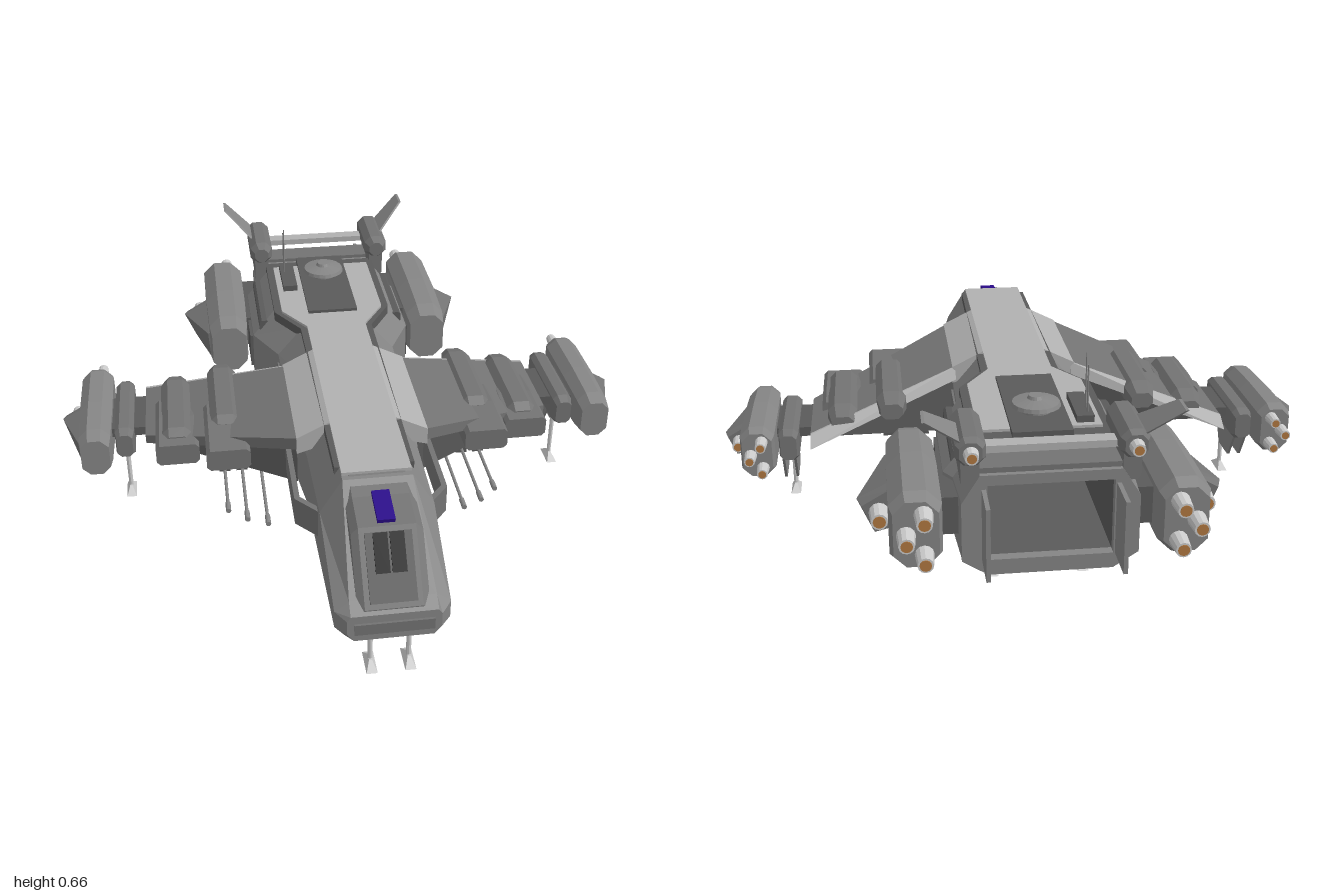
import * as THREE from 'three';

const paint = (color, side = THREE.FrontSide) => new THREE.MeshStandardMaterial({ color, flatShading: true, side });
const grey = paint(0xcccccc), light = paint(0xb0b0b0), mid = paint(0x858585), wingGrey = paint(0x737373), dark = paint(0x5a5a5a);
const glass = paint(0x050505), purple = paint(0x2a0a8a), glow = paint(0xb07840), inside = paint(0x5a5a5a, THREE.BackSide);

// Capped loft through [z, points] sections, front to back, points anticlockwise seen from the front
function loft(sections) {
  const v = [], n = sections[0][1].length;
  const put = (s, i) => v.push(...s[1][i % n], s[0]);
  for (let k = 0; k < sections.length - 1; k++) {
    const f = sections[k], b = sections[k + 1];
    for (let i = 0; i < n; i++) {
      put(f, i); put(b, i); put(b, i + 1);
      put(f, i); put(b, i + 1); put(f, i + 1);
    }
  }
  const first = sections[0], last = sections[sections.length - 1];
  for (let i = 1; i < n - 1; i++) {
    put(first, 0); put(first, i); put(first, i + 1);
    put(last, 0); put(last, i + 1); put(last, i);
  }
  const g = new THREE.BufferGeometry();
  g.setAttribute('position', new THREE.Float32BufferAttribute(v, 3));
  g.computeVertexNormals();
  return g;
}

// Chamfered rectangle
function oct(cx, cy, w, h, c) {
  const a = w / 2, b = h / 2;
  return [[a, c - b], [a, b - c], [a - c, b], [c - a, b], [-a, b - c], [-a, c - b], [c - a, -b], [a - c, -b]]
    .map(([x, y]) => [x + cx, y + cy]);
}

// Loft along x from tip to root; rows are [x, zFront, zBackTop, zBackBottom, yTop, yBottom]
const span = (rows) => loft(rows.map(([x, zf, zt, zb, yt, yb]) =>
  [x, [[-zf, yb], [-zb, yb], [-zt, yt], [-zf, yt]]])).rotateY(Math.PI / 2);

// Box given by its limits
const box = (x0, x1, y0, y1, z0, z1) => new THREE.BoxGeometry(x1 - x0, y1 - y0, z1 - z0)
  .translate((x0 + x1) / 2, (y0 + y1) / 2, (z0 + z1) / 2);

// Cylinder along z, r0 at the front
const tube = (x, y, z0, z1, r0, r1 = r0) => new THREE.CylinderGeometry(r0, r1, z0 - z1, 12)
  .rotateX(Math.PI / 2).translate(x, y, (z0 + z1) / 2);

const extrude = (pts, depth) => new THREE.ExtrudeGeometry(
  new THREE.Shape(pts.map((p) => new THREE.Vector2(...p))), { depth, bevelEnabled: false });
// Upright plate from [z, y] points, and flat slab from [x, z] points
const plate = (pts, x0, x1) => extrude(pts.map(([z, y]) => [-z, y]), x1 - x0).rotateY(Math.PI / 2).translate(x0, 0, 0);
const slab = (pts, y0, y1) => extrude(pts.map(([x, z]) => [x, -z]), y1 - y0).rotateX(-Math.PI / 2).translate(0, y0, 0);

function mirrored(geo) {
  const g = geo.index ? geo.toNonIndexed() : geo.clone();
  g.scale(-1, 1, 1);
  for (const name of ['position', 'normal']) {
    const a = g.attributes[name].array;
    for (let i = 0; i < a.length; i += 9)
      for (let j = 0; j < 3; j++) [a[i + 3 + j], a[i + 6 + j]] = [a[i + 6 + j], a[i + 3 + j]];
  }
  return g;
}

export function createModel() {
  const root = new THREE.Group();
  root.name = 'dropship';
  const add = (name, geo, mat = mid) => {
    const m = new THREE.Mesh(geo, mat);
    m.name = name;
    root.add(m);
  };
  const pair = (name, geo, mat) => {
    add(name + 'Left', geo, mat);
    add(name + 'Right', mirrored(geo), mat);
  };

  // Hull: z, bottom half-width and y, side half-width, its lower and upper y, top half-width and y
  const hull = [
    [0.99, 0.11, 0.155, 0.13, 0.18, 0.225, 0.12, 0.24], [0.955, 0.13, 0.145, 0.16, 0.18, 0.235, 0.12, 0.265],
    [0.68, 0.13, 0.145, 0.165, 0.18, 0.36, 0.1, 0.465], [0.4, 0.13, 0.145, 0.17, 0.18, 0.36, 0.1, 0.465],
    [0.2, 0.14, 0.145, 0.195, 0.18, 0.36, 0.11, 0.465], [-0.22, 0.14, 0.145, 0.2, 0.18, 0.36, 0.11, 0.465],
    [-0.37, 0.17, 0.145, 0.275, 0.19, 0.36, 0.19, 0.465], [-0.68, 0.17, 0.145, 0.275, 0.19, 0.36, 0.19, 0.465],
    [-0.72, 0.17, 0.145, 0.25, 0.19, 0.36, 0.19, 0.445], [-0.86, 0.17, 0.145, 0.24, 0.19, 0.36, 0.19, 0.44],
  ].map(([z, b, yb, w, y1, y2, t, yt]) =>
    [z, [[b, yb], [w, y1], [w, y2], [t, yt], [-t, yt], [-w, y2], [-w, y1], [-b, yb]]]);
  const shell = loft(hull);
  // leave the tail open: drop the back cap triangles
  const kept = Array.from(shell.attributes.position.array).filter((_, i, a) =>
    [2, 5, 8].some((k) => a[i - (i % 9) + k] > -0.855));
  shell.setAttribute('position', new THREE.Float32BufferAttribute(kept, 3));
  shell.computeVertexNormals();
  add('hull', shell);

  // Tail frame, open cargo bay and doors
  const rim = new THREE.Shape(hull[hull.length - 1][1].map((p) => new THREE.Vector2(...p)));
  rim.holes.push(new THREE.Path([[-0.17, 0.19], [-0.17, 0.41], [0.17, 0.41], [0.17, 0.19]].map((p) => new THREE.Vector2(...p))));
  add('tailFrame', new THREE.ExtrudeGeometry(rim, { depth: 0.03, bevelEnabled: false }).translate(0, 0, -0.885));
  const bay = box(-0.17, 0.17, 0.19, 0.41, -0.86, -0.4);
  bay.setIndex(Array.from(bay.index.array).slice(0, 30)); // without the rear face
  add('cargoBay', bay, inside);
  pair('cargoDoor', plate([[-0.87, 0.19], [-1, 0.19], [-1, 0.4], [-0.87, 0.4]], 0.174, 0.186));

  // Top deck with a darker border
  const symmetric = (half) => [...half, ...half.slice().reverse().map(([x, z]) => [-x, z])];
  add('deck', slab(symmetric([[0.1, 0.66], [0.1, -0.2], [0.175, -0.32], [0.175, -0.67]]), 0.463, 0.475), light);
  add('deckBorder', slab(symmetric([[0.115, 0.62], [0.122, -0.2], [0.2, -0.33], [0.2, -0.72]]), 0.435, 0.467), dark);
  pair('shoulderRail', loft([[-0.36, oct(0.235, 0.4, 0.035, 0.04, 0.008)], [-0.68, oct(0.235, 0.4, 0.035, 0.04, 0.008)]]), dark);
  add('turretPad', box(-0.085, 0.085, 0.47, 0.485, -0.72, -0.29), dark);
  add('deckLocker', box(-0.155, -0.105, 0.47, 0.495, -0.65, -0.47), dark);
  add('tailStep', box(-0.19, 0.19, 0.43, 0.455, -0.87, -0.78), wingGrey);
  const turret = [[0, 0.48], [0.045, 0.48], [0.045, 0.497], [0.072, 0.502], [0.068, 0.513], [0.025, 0.523], [0.02, 0.532], [0, 0.532]];
  add('turret', new THREE.LatheGeometry(turret.map((p) => new THREE.Vector2(...p)), 20).translate(0, 0, -0.57));
  for (const [z, y] of [[-0.59, 0.66], [-0.62, 0.635]])
    add('antenna', new THREE.CylinderGeometry(0.002, 0.003, y - 0.48, 6).translate(-0.14, (y + 0.48) / 2, z));

  // Cockpit
  const cab = (z, y) => [z, [[0.1, 0.22], [0.1, y - 0.02], [0.08, y], [-0.08, y], [-0.1, y - 0.02], [-0.1, 0.22]]];
  add('cockpit', loft([cab(0.98, 0.25), cab(0.84, 0.42), cab(0.73, 0.44), cab(0.64, 0.475)]), wingGrey);
  const pane = (x, y, w, thick, len) => new THREE.BoxGeometry(w, thick, len).rotateX(0.882)
    .translate(x, y, 0.98 - (y - 0.25) / 1.214);
  add('windowFrame', pane(0, 0.335, 0.13, 0.014, 0.19), dark);
  pair('window', pane(0.023, 0.365, 0.04, 0.022, 0.11), glass);
  add('roofLight', box(-0.025, 0.025, -0.008, 0.012, -0.055, 0.055).rotateX(0.18).translate(0, 0.432, 0.775), purple);
  add('noseBumper', box(-0.11, 0.11, 0.18, 0.215, 0.95, 0.997), wingGrey);

  // Cheek guards standing off the hull, and side panels
  pair('cheekGuard', slab([[0.155, 0.63], [0.165, 0.645], [0.226, 0.575], [0.226, 0.3], [0.21, 0.3], [0.21, 0.567]], 0.245, 0.335), wingGrey);
  pair('sidePanel', box(0.18, 0.205, 0.22, 0.34, -0.2, 0.2), wingGrey);
  pair('rearPanel', box(0.26, 0.285, 0.22, 0.34, -0.66, -0.4), dark);

  // Wings: root cap, slab, trailing flap and thick lower spar
  pair('wingRoot', span([[0.2, 0.4, -0.04, -0.04, 0.425, 0.37], [0.1, 0.4, -0.04, -0.04, 0.475, 0.4]]), light);
  pair('wing', span([[0.66, 0.1, -0.19, -0.19, 0.28, 0.25], [0.19, 0.4, -0.03, -0.03, 0.425, 0.385]]), wingGrey);
  pair('wingFlap', span([[0.66, -0.19, -0.2, -0.25, 0.28, 0.25], [0.19, -0.03, -0.035, -0.05, 0.425, 0.385]]), light);
  pair('wingSpar', span([[0.66, 0.07, -0.14, -0.14, 0.265, 0.245], [0.19, 0.3, -0.02, -0.02, 0.39, 0.195]]), dark);
  pair('wingTipLink', box(0.63, 0.79, 0.25, 0.28, -0.14, 0.05), dark);

  // Wing weapon boxes and under-wing guns
  for (const [x, y, z] of [[0.403, 0.325, 0.34], [0.558, 0.29, 0.24]]) {
    pair('weaponBox', loft([[z, oct(x, y, 0.135, 0.07, 0.012)], [z - 0.16, oct(x, y, 0.135, 0.08, 0.012)],
      [z - 0.28, oct(x, y, 0.135, 0.06, 0.012)]]), wingGrey);
    pair('weaponHousing', loft([[0.2, oct(x, y + 0.015, 0.08, 0.05, 0.015)], [0.17, oct(x, y + 0.015, 0.095, 0.085, 0.022)],
      [-0.12, oct(x, y + 0.015, 0.095, 0.085, 0.022)], [-0.18, oct(x, y + 0.01, 0.07, 0.05, 0.015)]]), wingGrey);
  }
  for (const [x, z] of [[0.3, 0.51], [0.36, 0.48], [0.415, 0.43]]) {
    pair('gunBarrel', tube(x, 0.2, z, 0.1, 0.005));
    pair('gunMuzzle', tube(x, 0.2, z, z - 0.04, 0.008));
    pair('gunMount', box(x - 0.018, x + 0.018, 0.185, 0.235, -0.02, 0.2), dark);
  }

  // Engine pods: one design at the wing tips, enlarged at the tail
  for (const [name, x, y, z, s, l] of [['tipEngine', 0.82, 0.25, 0.16, 1, 1], ['tailEngine', 0.36, 0.295, -0.4, 1.35, 1.2]]) {
    const part = (label, g, mat) => pair(name + label, g.scale(s, s, l).translate(x, y, z), mat);
    part('Body', loft([[0, oct(0, -0.003, 0.09, 0.125, 0.025)], [-0.05, oct(0, 0, 0.1, 0.148, 0.028)],
      [-0.2, oct(0, 0, 0.105, 0.165, 0.03)], [-0.4, oct(0, 0, 0.105, 0.165, 0.03)], [-0.43, oct(0, 0, 0.09, 0.14, 0.025)]]));
    part('Fairing', loft([[-0.06, [[0.03, -0.04], [0.05, -0.05], [0.055, 0.02], [0.03, 0.03]]],
      [-0.24, [[0.02, -0.05], [0.085, -0.07], [0.115, 0], [0.045, 0.035]]],
      [-0.27, [[0.02, -0.05], [0.08, -0.065], [0.105, -0.005], [0.045, 0.03]]]]), wingGrey);
    const jets = [[-0.015, 0.043, -0.42, 0.02], [0.02, 0, -0.42, 0.02], [-0.015, -0.043, -0.42, 0.02], [0.07, -0.02, -0.26, 0.022]];
    for (const [jx, jy, jz, r] of jets) {
      part('Nozzle', tube(jx, jy, jz, jz - 0.06, r, r * 0.8), grey);
      part('Glow', tube(jx, jy, jz - 0.058, jz - 0.062, r * 0.6), glow);
    }
  }
  pair('tailEnginePylon', box(0.23, 0.31, 0.24, 0.35, -0.82, -0.52), dark);

  // Upper tail thrusters with fins and a cross bar
  pair('upperThruster', loft([[-0.68, oct(0.215, 0.52, 0.05, 0.05, 0.015)], [-0.71, oct(0.215, 0.52, 0.08, 0.08, 0.022)],
    [-0.9, oct(0.215, 0.52, 0.08, 0.08, 0.022)], [-0.92, oct(0.215, 0.52, 0.06, 0.06, 0.016)]]), wingGrey);
  pair('upperNozzle', tube(0.215, 0.52, -0.91, -0.95, 0.022, 0.018), grey);
  pair('upperGlow', tube(0.215, 0.52, -0.948, -0.952, 0.013), glow);
  pair('thrusterMount', loft([[-0.7, oct(0.215, 0.455, 0.05, 0.1, 0.01)], [-0.88, oct(0.215, 0.455, 0.05, 0.1, 0.01)]]), wingGrey);
  const fin = plate([[-0.77, 0.54], [-0.9, 0.54], [-0.95, 0.625], [-0.87, 0.625]], -0.004, 0.004);
  const p = fin.attributes.position;
  for (let i = 0; i < p.count; i++) p.setX(i, p.getX(i) + 0.235 + (p.getY(i) - 0.54) * 1.18);
  fin.computeVertexNormals();
  pair('tailFin', fin);
  add('crossBar', box(-0.18, 0.18, 0.495, 0.515, -0.865, -0.82), light);

  // Landing gear with bay doors
  pair('wingGearHousing', loft([[0.11, oct(0.728, 0.25, 0.05, 0.08, 0.012)], [0.08, oct(0.728, 0.25, 0.062, 0.105, 0.015)],
    [-0.2, oct(0.728, 0.25, 0.062, 0.105, 0.015)], [-0.23, oct(0.728, 0.25, 0.05, 0.08, 0.012)]]), wingGrey);
  for (const [x, z, top, inner, outer] of [[0.055, 0.92, 0.16, 0.022, 0.09], [0.133, -0.61, 0.16, 0.103, 0.163], [0.73, 0, 0.22, 0.712, 0.748]]) {
    pair('leg', new THREE.CylinderGeometry(0.008, 0.007, top - 0.01, 8).translate(x, (top + 0.01) / 2, z), grey);
    pair('foot', new THREE.CylinderGeometry(0.018, 0.062, 0.022, 4).rotateY(Math.PI / 4).scale(0.36, 1, 1).translate(x, 0.011, z), grey);
    const low = top - 0.06 - (top > 0.2 ? 0.045 : 0);
    for (const dx of [inner, outer])
      pair('gearDoor', plate([[z, top], [z - 0.2, top], [z - 0.2, top - 0.02], [z - 0.15, low], [z - 0.05, low], [z, top - 0.02]], dx - 0.004, dx + 0.004));
  }
  return root;
}
